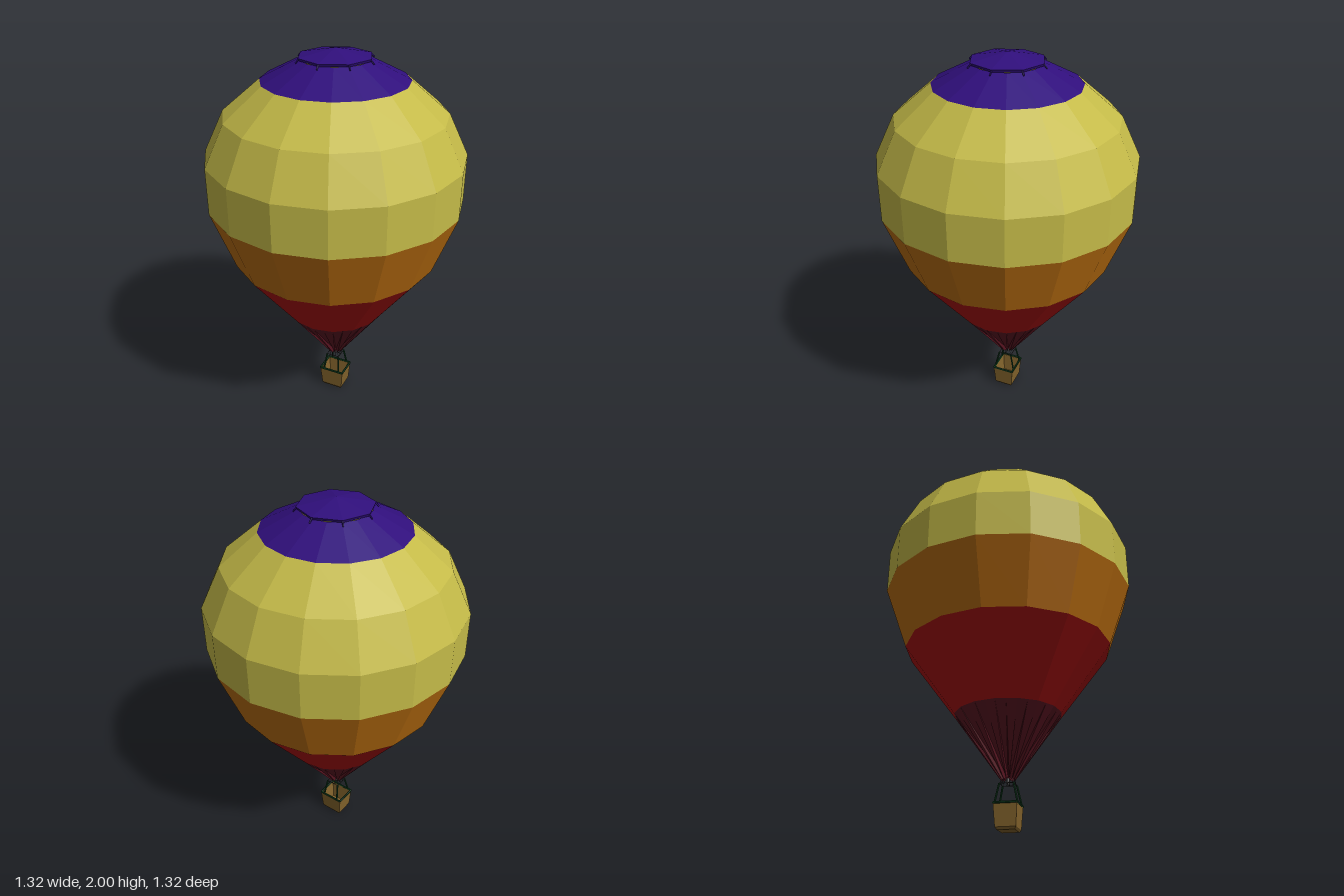
import * as THREE from 'three';

const SIDES = 16;
const mat = (color) => new THREE.MeshStandardMaterial({ color, flatShading: true, side: THREE.DoubleSide });
const pts = (list) => list.map(([r, y]) => new THREE.Vector2(r, y));

function addMesh(parent, name, geometry, material) {
  const mesh = new THREE.Mesh(geometry, material);
  mesh.name = name;
  parent.add(mesh);
  return mesh;
}

// Thin straight rod between two points
function addRod(parent, name, a, b, radius, material) {
  const from = new THREE.Vector3(...a), to = new THREE.Vector3(...b);
  const rod = addMesh(parent, name, new THREE.CylinderGeometry(radius, radius, from.distanceTo(to), 6), material);
  rod.position.copy(from).lerp(to, 0.5);
  rod.quaternion.setFromUnitVectors(new THREE.Vector3(0, 1, 0), to.sub(from).normalize());
}

// Rectangular frame of four rods
function addFrame(parent, name, w, d, y, radius, material) {
  const c = [[w, d], [-w, d], [-w, -d], [w, -d]];
  c.forEach(([x, z], i) => {
    const [x2, z2] = c[(i + 1) % 4];
    addRod(parent, name, [x, y, z], [x2, y, z2], radius, material);
  });
}

// Gathered fabric: every second seam is pulled inwards, more so towards the mouth
function skirtGeometry() {
  const n = SIDES * 2;
  const geo = new THREE.LatheGeometry(pts([[0.035, 0.24], [0.275, 0.57]]), n);
  const p = geo.attributes.position;
  for (let i = 0; i < p.count; i++) {
    if (Math.floor(i / 2) % 2 === 0) continue;
    const top = i % 2 === 1;
    const k = top ? Math.cos(Math.PI / SIDES) : 0.6;
    p.setXYZ(i, p.getX(i) * k, p.getY(i) + (top ? 0 : 0.015), p.getZ(i) * k);
  }
  geo.computeVertexNormals();
  return geo;
}

export function createModel() {
  const model = new THREE.Group();
  model.name = 'hotAirBalloon';

  // Envelope, in coloured bands from the mouth up
  const envelope = new THREE.Group();
  envelope.name = 'envelope';
  model.add(envelope);
  addMesh(envelope, 'skirt', skirtGeometry(), mat(0x5c1522));
  const bands = [
    ['redBand', 0xa80f0f, [[0.275, 0.57], [0.54, 0.92]]],
    ['orangeBand', 0xb86c10, [[0.54, 0.92], [0.658, 1.24]]],
    ['yellowBand', 0xc4ba48, [[0.658, 1.24], [0.658, 1.48], [0.555, 1.69], [0.365, 1.85]]],
    ['crown', 0x300f7c, [[0.365, 1.85], [0.17, 1.95]]],
  ];
  for (const [name, color, profile] of bands) {
    addMesh(envelope, name, new THREE.LatheGeometry(pts(profile), SIDES), mat(color));
  }

  // Eight-sided vent flap over the crown opening, with small tabs at its corners
  const purple = mat(0x300f7c);
  addMesh(envelope, 'ventFlap', new THREE.LatheGeometry(pts([[0.18, 1.951], [0.185, 1.963], [0, 2]]), 8), purple);
  for (let i = 0; i < 8; i++) {
    const a = (i * Math.PI) / 4, s = Math.sin(a), c = Math.cos(a);
    addRod(envelope, 'ventTab', [0.18 * s, 1.959, 0.18 * c], [0.197 * s, 1.941, 0.197 * c], 0.004, purple);
  }

  // Open tapered basket with a bevelled floor
  const basketGroup = new THREE.Group();
  basketGroup.name = 'basketAssembly';
  model.add(basketGroup);
  const profile = [[0, 0], [0.052, 0], [0.061, 0.012], [0.07, 0.122], [0.062, 0.122], [0.053, 0.016], [0, 0.016]];
  const basketGeo = new THREE.LatheGeometry(pts(profile.map(([r, y]) => [r * Math.SQRT2, y])), 4);
  basketGeo.rotateY(Math.PI / 4).scale(1, 1, 0.84);
  addMesh(basketGroup, 'basket', basketGeo, mat(0x84642c));

  // Padded rim, uprights and burner frame
  const green = mat(0x0d3a1c), dark = mat(0x2a2a2a);
  addFrame(basketGroup, 'rim', 0.069, 0.057, 0.124, 0.006, green);
  addFrame(basketGroup, 'burnerFrame', 0.036, 0.036, 0.222, 0.002, dark);
  for (const x of [-1, 1]) for (const z of [-1, 1]) {
    addRod(basketGroup, 'upright', [x * 0.046, 0.125, z * 0.057], [x * 0.036, 0.222, z * 0.036], 0.005, green);
  }
  addRod(basketGroup, 'burnerBar', [-0.036, 0.222, 0], [0.036, 0.222, 0], 0.002, dark);
  const burner = addMesh(basketGroup, 'burner', new THREE.CylinderGeometry(0.01, 0.007, 0.03, 8), mat(0x777777));
  burner.position.y = 0.235;

  // Lines from the frame up to the mouth
  for (let i = 0; i < SIDES; i++) {
    const a = (i * Math.PI * 2) / SIDES, s = Math.sin(a), c = Math.cos(a);
    const k = 0.036 / Math.max(Math.abs(s), Math.abs(c));
    addRod(basketGroup, 'line', [k * s, 0.222, k * c], [0.035 * s, 0.243, 0.035 * c], 0.001, dark);
  }
  return model;
}
